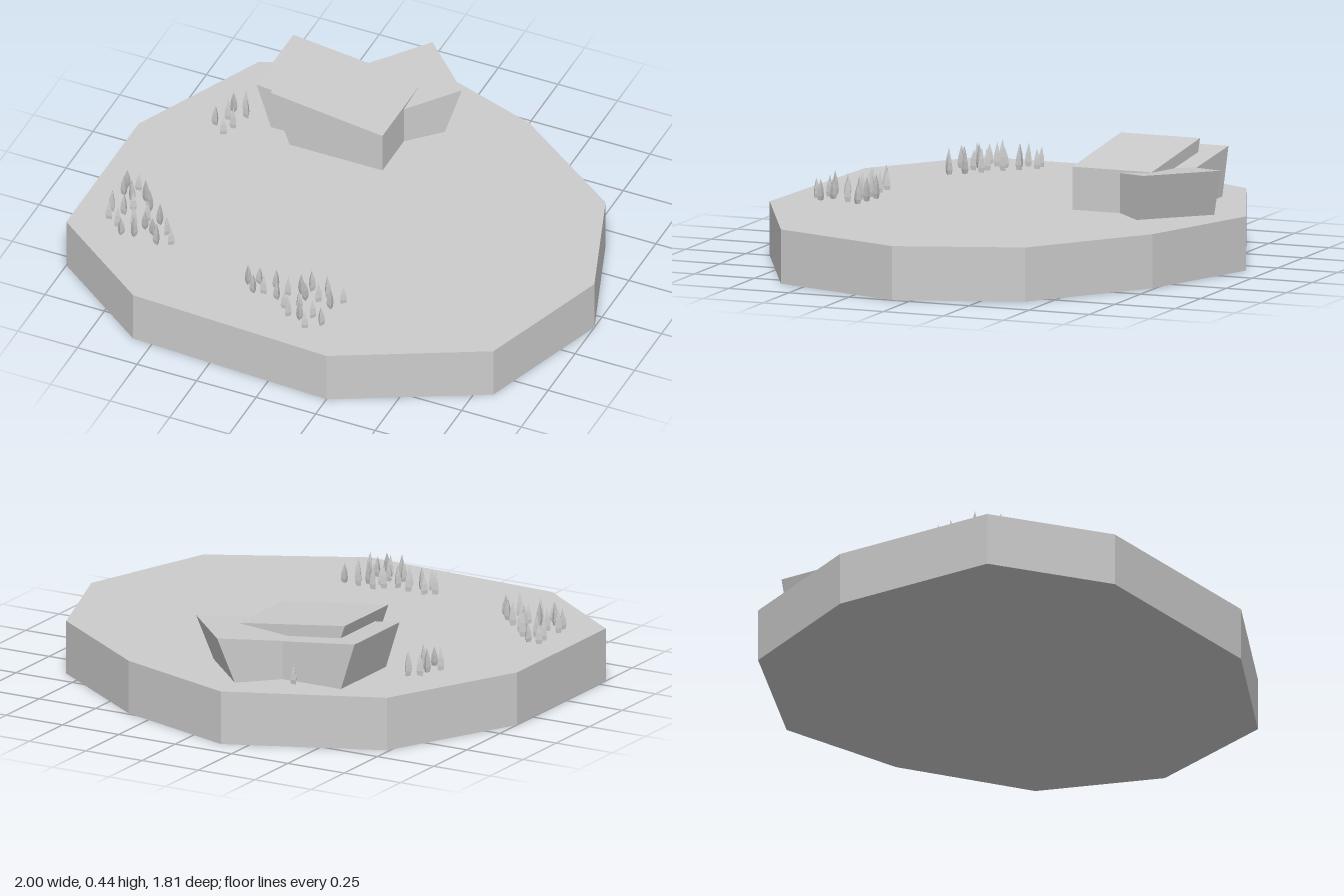
import * as THREE from 'three';

const GROUND = 0.21;
const material = new THREE.MeshStandardMaterial({ color: 0xcccccc, flatShading: true });

function addMesh(parent, name, geometry) {
  const mesh = new THREE.Mesh(geometry, material);
  mesh.name = name;
  parent.add(mesh);
  return mesh;
}

function extrude(points, depth) {
  const shape = new THREE.Shape(points.map(([x, y]) => new THREE.Vector2(x, y)));
  return new THREE.ExtrudeGeometry(shape, { depth, bevelEnabled: false });
}

// Wedge-roofed block: its tall end overhangs at local x = 0, the roof falls toward +x
function wedgeBlock({ length, width, high, low, inset }) {
  const profile = [[inset, 0], [length, 0], [length, low - GROUND], [0, high - GROUND]];
  return extrude(profile, width).translate(0, 0, -width / 2);
}

// Small seeded generator for the variation between trees
function seeded(seed) {
  return () => {
    seed = (seed * 16807) % 2147483647;
    return seed / 2147483647;
  };
}

export function createModel() {
  const model = new THREE.Group();
  model.name = 'islandWithBuilding';

  // Ten-sided ground slab, outline in x, z
  const outline = [
    [-0.15, -0.91], [0.36, -0.74], [0.83, -0.41], [1, 0.07], [0.82, 0.61],
    [0.25, 0.9], [-0.58, 0.86], [-1, 0.55], [-1, -0.12], [-0.74, -0.66],
  ];
  const slab = extrude(outline.map(([x, z]) => [x, -z]), GROUND).rotateX(-Math.PI / 2);
  addMesh(model, 'groundSlab', slab);

  // Building of three interlocking wedge blocks
  const building = new THREE.Group();
  building.name = 'building';
  model.add(building);
  const blocks = [
    { name: 'frontBlock', x: -0.5, z: -0.405, turn: 0,
      length: 0.47, width: 0.33, high: 0.436, low: 0.377, inset: 0.08 },
    { name: 'sideBlock', x: -0.59, z: -0.48, turn: 0,
      length: 0.46, width: 0.34, high: 0.397, low: 0.345, inset: 0.06 },
    { name: 'angledBackBlock', x: 0.025, z: -0.72, turn: -0.75 * Math.PI,
      length: 0.4, width: 0.32, high: 0.392, low: 0.347, inset: 0.07 },
  ];
  for (const b of blocks) {
    const mesh = addMesh(building, b.name, wedgeBlock(b));
    mesh.position.set(b.x, GROUND, b.z);
    mesh.rotation.y = b.turn;
  }

  // Three-sided spiky trees in clumps, positions in x, z
  const clumps = {
    backTree: [[-0.34, -0.68]],
    sideTrees: [
      [-0.66, -0.37], [-0.7, -0.34], [-0.64, -0.33], [-0.7, -0.29],
      [-0.66, -0.25], [-0.73, -0.24], [-0.68, -0.2],
    ],
    cornerTrees: [
      [-0.88, 0.25], [-0.83, 0.25], [-0.87, 0.3], [-0.83, 0.32], [-0.78, 0.3], [-0.8, 0.37],
      [-0.74, 0.35], [-0.87, 0.41], [-0.82, 0.41], [-0.72, 0.41], [-0.67, 0.41], [-0.86, 0.46],
      [-0.81, 0.49], [-0.76, 0.46], [-0.71, 0.46], [-0.67, 0.48], [-0.62, 0.46], [-0.78, 0.53],
      [-0.73, 0.52], [-0.63, 0.53], [-0.58, 0.51],
    ],
    frontTrees: [
      [-0.17, 0.59], [-0.21, 0.61], [-0.1, 0.59], [-0.17, 0.65], [-0.13, 0.64], [-0.07, 0.65],
      [-0.04, 0.61], [0, 0.58], [0.03, 0.55], [0.1, 0.56], [0.17, 0.57], [0.03, 0.61],
      [0.08, 0.6], [0.14, 0.62], [-0.02, 0.69], [0.03, 0.67], [0.1, 0.7], [0.01, 0.73],
      [0.06, 0.73], [0.15, 0.73], [0.1, 0.77],
    ],
  };
  const treeProfile = [[0, 0], [0.012, 0], [0.016, 0.02], [0.012, 0.055], [0, 0.1]];
  const treeGeometry = new THREE.LatheGeometry(
    treeProfile.map(([r, y]) => new THREE.Vector2(r, y)), 3);
  const random = seeded(17);
  for (const [name, spots] of Object.entries(clumps)) {
    const clump = new THREE.Group();
    clump.name = name;
    for (const [x, z] of spots) {
      const tree = addMesh(clump, 'tree', treeGeometry);
      tree.position.set(x, GROUND, z);
      tree.rotation.y = random() * Math.PI * 2;
      tree.scale.y = 0.75 + random() * 0.25;
    }
    model.add(clump);
  }

  return model;
}
